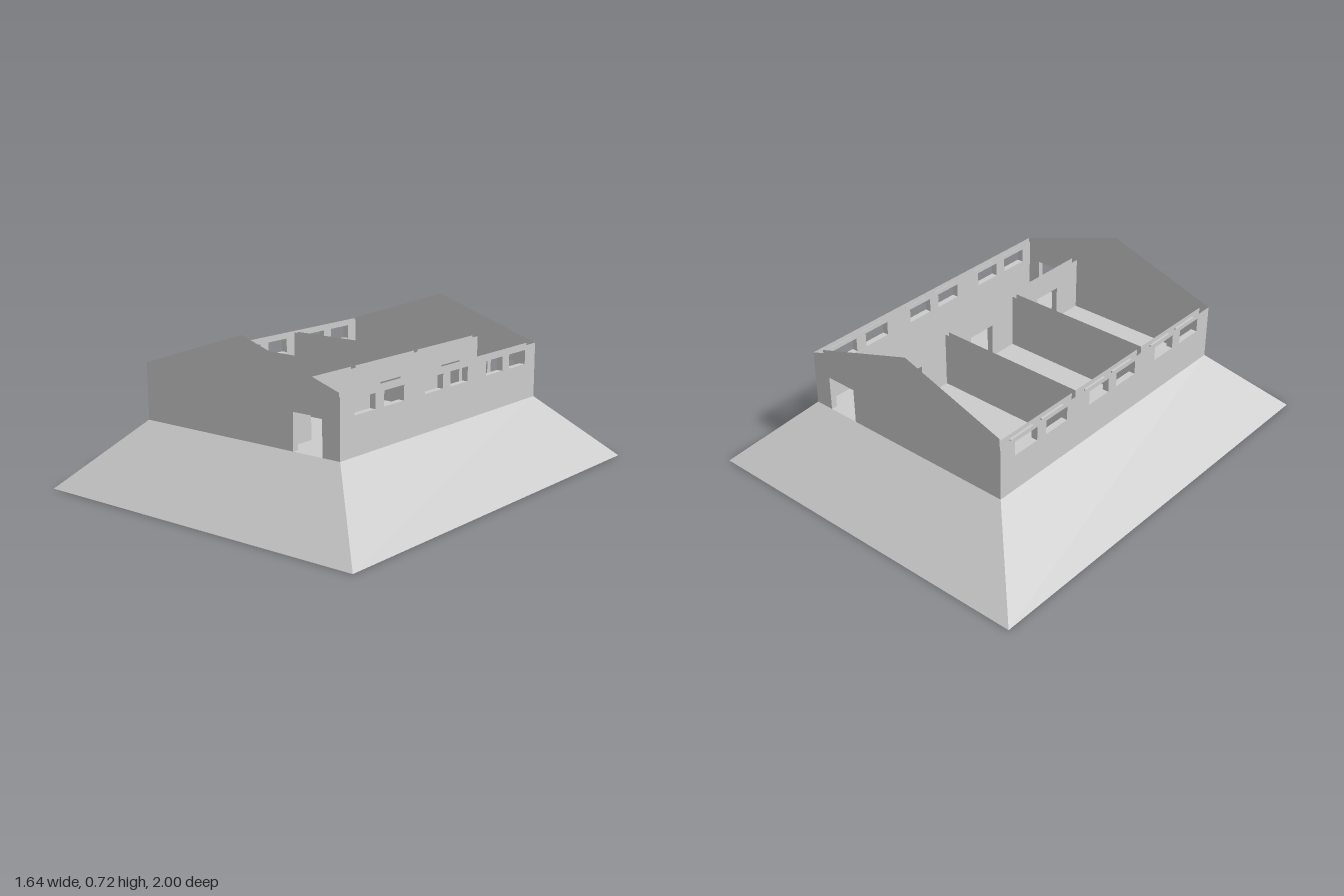
import * as THREE from 'three';

const FLOOR = 0.295, EAVE = 0.546, RIDGE = 0.72, DOOR_TOP = 0.455;
const X = 0.527, Z = 0.707, T = 0.029;          // outer half width, half length, wall thickness
const XI = X - T, ZI = Z - T;                   // inside faces of the outer walls
const HALL = [0.204, 0.233];                    // two faces of the corridor wall

const mat = new THREE.MeshStandardMaterial({ color: 0xcccccc, flatShading: true, side: THREE.DoubleSide });

export function createModel() {
  const model = new THREE.Group();

  const add = (parent, name, geometry) => {
    const mesh = new THREE.Mesh(geometry, mat);
    mesh.name = name;
    parent.add(mesh);
    return mesh;
  };

  // One wall face in the local x-y plane; doors [u0, u1] are notches, windows [u0, u1, y0, y1] are holes
  const face = (u0, u1, top, doors = [], windows = []) => {
    const shape = new THREE.Shape().moveTo(u0, FLOOR);
    for (const [a, b] of doors) {
      shape.lineTo(a, FLOOR).lineTo(a, DOOR_TOP).lineTo(b, DOOR_TOP).lineTo(b, FLOOR);
    }
    shape.lineTo(u1, FLOOR);
    top.forEach(([u, y]) => shape.lineTo(u, y));
    shape.closePath();
    for (const [a, b, c, d] of windows) {
      shape.holes.push(new THREE.Path().moveTo(a, c).lineTo(a, d).lineTo(b, d).lineTo(b, c).closePath());
    }
    return new THREE.ShapeGeometry(shape);
  };
  const flatTop = (u0, u1) => [[u1, EAVE], [u0, EAVE]];
  const gableTop = (w) => {
    const y = EAVE + (RIDGE - EAVE) * (1 - w / X);
    return [[w, y], [0, RIDGE], [-w, y]];
  };

  // Four-sided lining of an opening, running between two wall faces
  const lining = (a, b, c, d, w0, w1) =>
    new THREE.CylinderGeometry(Math.SQRT1_2, Math.SQRT1_2, 1, 4, 1, true)
      .rotateY(Math.PI / 4).rotateX(Math.PI / 2)
      .scale(b - a, d - c, Math.abs(w1 - w0))
      .translate((a + b) / 2, (c + d) / 2, (w0 + w1) / 2);

  const wall = (name, alongZ) => {
    const group = new THREE.Group();
    group.name = name;
    if (alongZ) group.rotation.y = -Math.PI / 2;  // local x becomes z, local z becomes -x
    model.add(group);
    return group;
  };

  // Sloping earth bank, open underneath
  const ring = (x, y, z) => [-x, y, z, x, y, z, x, y, -z, -x, y, -z];
  const bank = new THREE.BufferGeometry();
  bank.setAttribute('position', new THREE.Float32BufferAttribute(
    [...ring(0.822, 0, 1), ...ring(X, FLOOR, Z)], 3));
  const index = [];
  for (let i = 0; i < 4; i++) {
    const j = (i + 1) % 4;
    index.push(i, j, j + 4, i, j + 4, i + 4);
  }
  bank.setIndex(index);
  bank.computeVertexNormals();
  add(model, 'slopedBase', bank);

  // Floors: three rooms and the corridor
  const rooms = [[-ZI, -0.236], [-0.212, 0.207], [0.236, ZI]];
  const floor = (name, x0, x1, z0, z1) => add(model, name,
    new THREE.PlaneGeometry(x1 - x0, z1 - z0).rotateX(-Math.PI / 2)
      .translate((x0 + x1) / 2, FLOOR, (z0 + z1) / 2));
  rooms.forEach(([a, b]) => floor('roomFloor', -XI, HALL[0], a, b));
  floor('corridorFloor', HALL[1], XI, -ZI, ZI);

  // Gable walls, each with a door at the corridor end
  const door = [0.291, 0.439];
  for (const s of [1, -1]) {
    const g = wall(s > 0 ? 'frontWall' : 'backWall', false);
    add(g, 'outerFace', face(-X, X, gableTop(X), [door])).position.z = s * Z;
    add(g, 'innerFace', face(-XI, XI, gableTop(XI), [door])).position.z = s * ZI;
    add(g, 'doorLining', lining(...door, FLOOR, DOOR_TOP, s * ZI, s * Z));
  }

  // Long side walls with six high windows
  const windows = [];
  for (const [a, b] of [[0.027, 0.156], [0.3, 0.432], [0.487, 0.621]]) {
    windows.push([a, b, 0.46, 0.525], [-b, -a, 0.46, 0.525]);
  }
  for (const s of [1, -1]) {
    const g = wall(s > 0 ? 'leftWall' : 'rightWall', true);
    add(g, 'outerFace', face(-Z, Z, flatTop(-Z, Z), [], windows)).position.z = -s * X;
    // The inner face of the room side is split where the partitions meet it
    const spans = s > 0 ? [[-ZI, ZI]] : rooms;
    for (const [a, b] of spans) {
      const inside = windows.filter((w) => w[0] > a && w[1] < b);
      add(g, 'innerFace', face(a, b, flatTop(a, b), [], inside)).position.z = -s * XI;
    }
    windows.forEach((w) => add(g, 'windowLining', lining(...w, -s * XI, -s * X)));
  }

  // Corridor wall with a door to each room
  const roomDoors = [[-0.53, -0.387], [-0.073, 0.069], [0.386, 0.529]];
  const hall = wall('corridorWall', true);
  add(hall, 'corridorFace', face(-ZI, ZI, flatTop(-ZI, ZI), roomDoors)).position.z = -HALL[1];
  rooms.forEach(([a, b], i) => {
    add(hall, 'roomFace', face(a, b, flatTop(a, b), [roomDoors[i]])).position.z = -HALL[0];
    add(hall, 'doorLining', lining(...roomDoors[i], FLOOR, DOOR_TOP, -HALL[1], -HALL[0]));
  });

  // Partitions between the rooms
  for (let i = 0; i < 2; i++) {
    const g = wall('partition', false);
    for (const z of [rooms[i][1], rooms[i + 1][0]]) {
      add(g, 'partitionFace', face(-XI, HALL[0], flatTop(-XI, HALL[0]))).position.z = z;
    }
  }

  return model;
}
